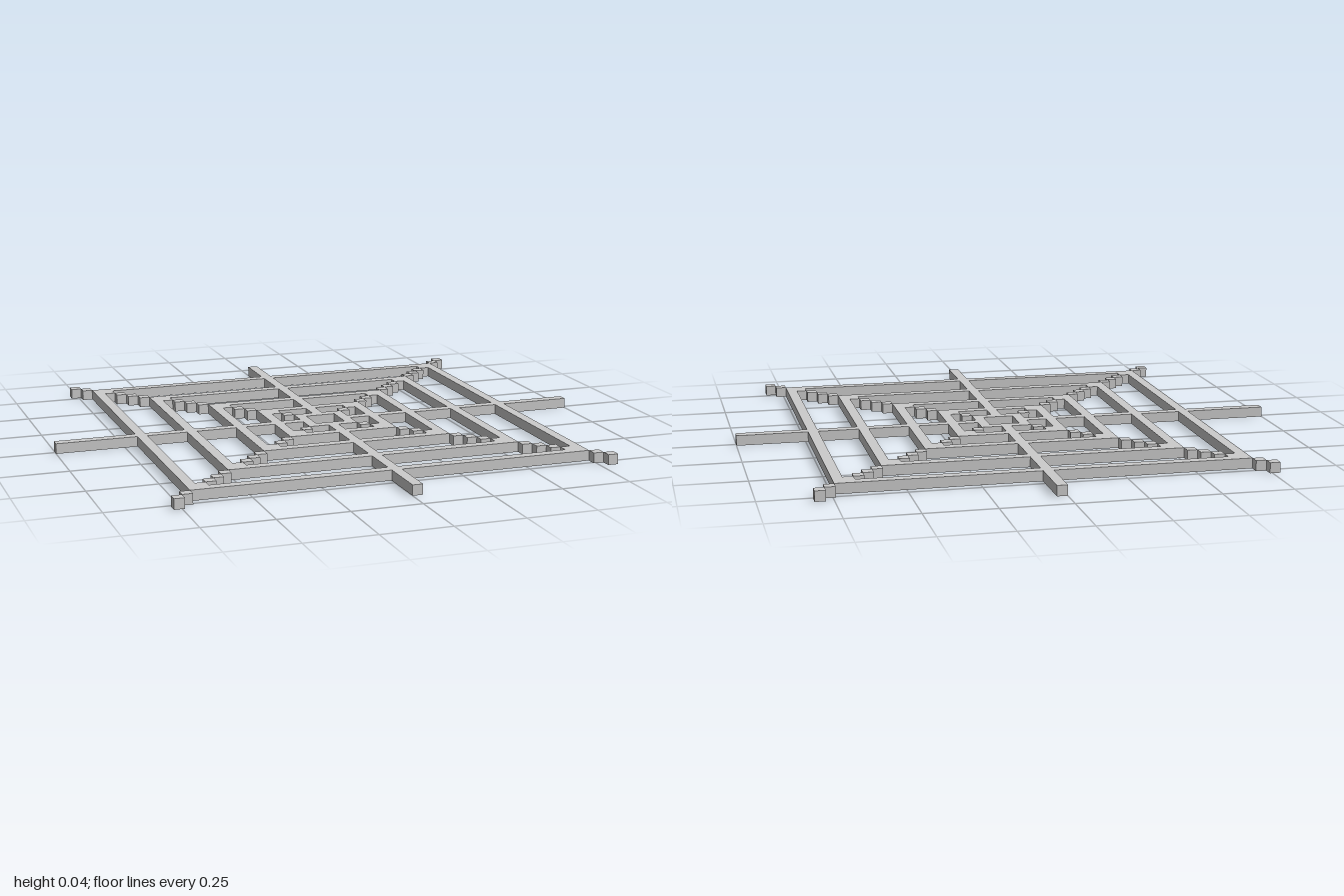
import * as THREE from 'three';

const S = 1 / 27;              // side of one cube cell
const RINGS = [2, 5, 9, 14, 19]; // ring distances from the centre, in cells
const DIAGONAL_END = 21;

export function createModel() {
  const web = new THREE.Group();
  web.name = 'web';
  // The middle cell sits half a cell to the +x side
  web.position.set(S / 2, S / 2, 0);

  const silk = new THREE.MeshStandardMaterial({ color: 0xcccccc });
  silk.name = 'lightGrey';

  // Box covering cells x0..x1 and z0..z1 inclusive
  function cells(name, x0, x1, z0, z1, parent) {
    const geometry = new THREE.BoxGeometry((x1 - x0 + 1) * S, S, (z1 - z0 + 1) * S);
    const mesh = new THREE.Mesh(geometry, silk);
    mesh.name = name;
    mesh.position.set((x0 + x1) / 2 * S, 0, (z0 + z1) / 2 * S);
    parent.add(mesh);
  }

  function square(PathType, half) {
    return new PathType([[-1, -1], [1, -1], [1, 1], [-1, 1]]
      .map(([x, y]) => new THREE.Vector2(x * half, y * half)));
  }

  // Square rings, one cell wide
  for (const r of RINGS) {
    const shape = square(THREE.Shape, (r + 0.5) * S);
    shape.holes.push(square(THREE.Path, (r - 0.5) * S));
    const geometry = new THREE.ExtrudeGeometry(shape, { depth: S, bevelEnabled: false });
    geometry.translate(0, 0, -S / 2).rotateX(-Math.PI / 2);
    const ring = new THREE.Mesh(geometry, silk);
    ring.name = 'squareRing';
    web.add(ring);
  }

  // Straight spokes, filling the gaps between rings and running past the last
  function spoke(name, dx, dz, end) {
    const group = new THREE.Group();
    group.name = name;
    RINGS.forEach((r, i) => {
      const a = r + 1;
      const b = i < RINGS.length - 1 ? RINGS[i + 1] - 1 : end;
      cells('spokeSegment',
        Math.min(a * dx, b * dx), Math.max(a * dx, b * dx),
        Math.min(a * dz, b * dz), Math.max(a * dz, b * dz), group);
    });
    web.add(group);
  }
  spoke('leftSpoke', 1, 0, 26);
  spoke('rightSpoke', -1, 0, 27);
  spoke('frontSpoke', 0, 1, 24);
  spoke('backSpoke', 0, -1, 24);

  // Diagonal strands of cubes stepping corner to corner
  for (const sx of [-1, 1]) {
    for (const sz of [-1, 1]) {
      const strand = new THREE.Group();
      strand.name = 'diagonalStrand';
      for (let i = RINGS[0] + 1; i <= DIAGONAL_END; i++) {
        if (!RINGS.includes(i)) cells('strandCube', i * sx, i * sx, i * sz, i * sz, strand);
      }
      web.add(strand);
    }
  }

  const model = new THREE.Group();
  model.name = 'squareWeb';
  model.add(web);
  return model;
}
